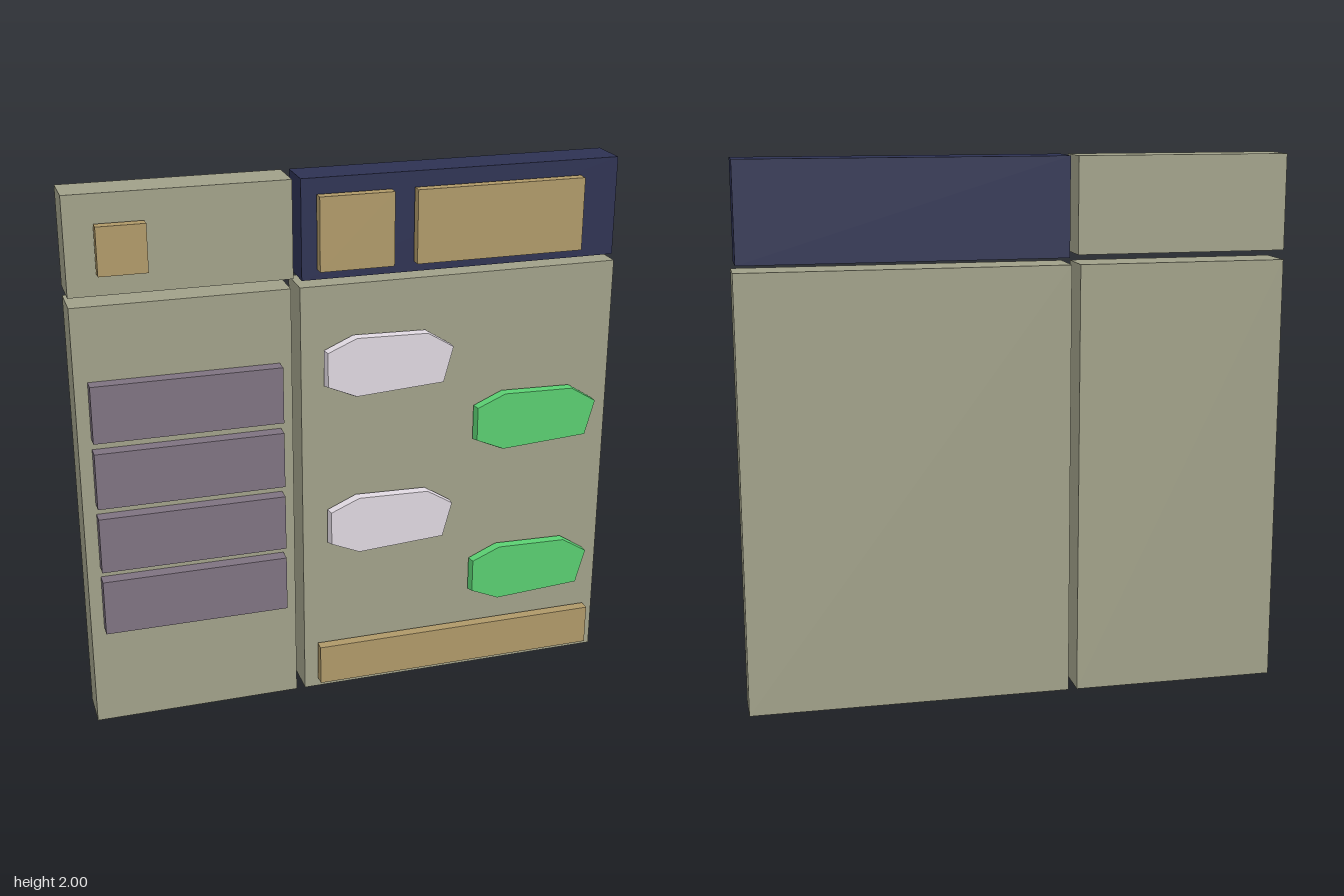
import * as THREE from 'three';

const material = (color) => new THREE.MeshStandardMaterial({ color, flatShading: true });
const olive = material(0xa0a088);
const navy = material(0x2d3152);
const tan = material(0xae9868);
const mauve = material(0x7e7280);
const white = material(0xddd6de);
const green = material(0x59cc70);

// Box given by its limits on each axis
function slab(name, mat, x0, x1, y0, y1, z0, z1) {
  const mesh = new THREE.Mesh(new THREE.BoxGeometry(x1 - x0, y1 - y0, z1 - z0), mat);
  mesh.position.set((x0 + x1) / 2, (y0 + y1) / 2, (z0 + z1) / 2);
  mesh.name = name;
  return mesh;
}

// Seven-sided bubble whose front face is slightly smaller than its back
function bubbleGeometry() {
  const outline = [
    [-0.237, -0.067], [-0.128, -0.116], [0.206, -0.094], [0.242, 0.045],
    [0.142, 0.109], [-0.128, 0.116], [-0.237, 0.068],
  ].map(([x, y]) => new THREE.Vector2(x, y));
  const depth = 0.03;
  const geometry = new THREE.ExtrudeGeometry(new THREE.Shape(outline), { depth, bevelEnabled: false });
  const p = geometry.attributes.position;
  for (let i = 0; i < p.count; i++) {
    if (p.getZ(i) > depth / 2) {
      p.setX(i, 0.242 + (p.getX(i) - 0.242) * 0.985);
      p.setY(i, 0.03 + (p.getY(i) - 0.03) * 0.95);
    }
  }
  geometry.computeVertexNormals();
  return geometry;
}

export function createModel() {
  const model = new THREE.Group();
  model.name = 'chatPanel';

  // Back panels
  const back = -0.105, front = 0.05;
  model.add(
    slab('sidebarHeader', olive, -1, -0.22, 1.65, 2, back, front),
    slab('sidebarPanel', olive, -1, -0.23, 0, 1.615, back, front),
    slab('mainHeader', navy, -0.19, 0.99, 1.64, 2, back, front),
    slab('mainPanel', olive, -0.197, 1, 0, 1.615, back, front),
  );

  // Floating header tiles and input bar
  model.add(
    slab('sidebarButton', tan, -0.9, -0.73, 1.73, 1.9, 0.06, 0.1),
    slab('headerIcon', tan, -0.137, 0.133, 1.68, 1.945, 0.06, 0.1),
    slab('headerTitle', tan, 0.217, 0.843, 1.68, 1.945, 0.06, 0.1),
    slab('inputBar', tan, -0.147, 0.957, 0.04, 0.195, 0.06, 0.1),
  );

  // Sidebar list entries
  for (let i = 0; i < 4; i++) {
    const y = 0.39 + i * 0.249;
    model.add(slab(`listEntry${i + 1}`, mauve, -0.953, -0.275, y, y + 0.21, 0.053, 0.103));
  }

  // Alternating bubbles
  const geometry = bubbleGeometry();
  const bubbles = [
    [0.12, 1.314, white], [0.695, 1.04, green],
    [0.13, 0.69, white], [0.695, 0.407, green],
  ];
  bubbles.forEach(([x, y, mat], i) => {
    const mesh = new THREE.Mesh(geometry, mat);
    mesh.position.set(x, y, 0.067);
    mesh.name = `bubble${i + 1}`;
    model.add(mesh);
  });

  return model;
}
